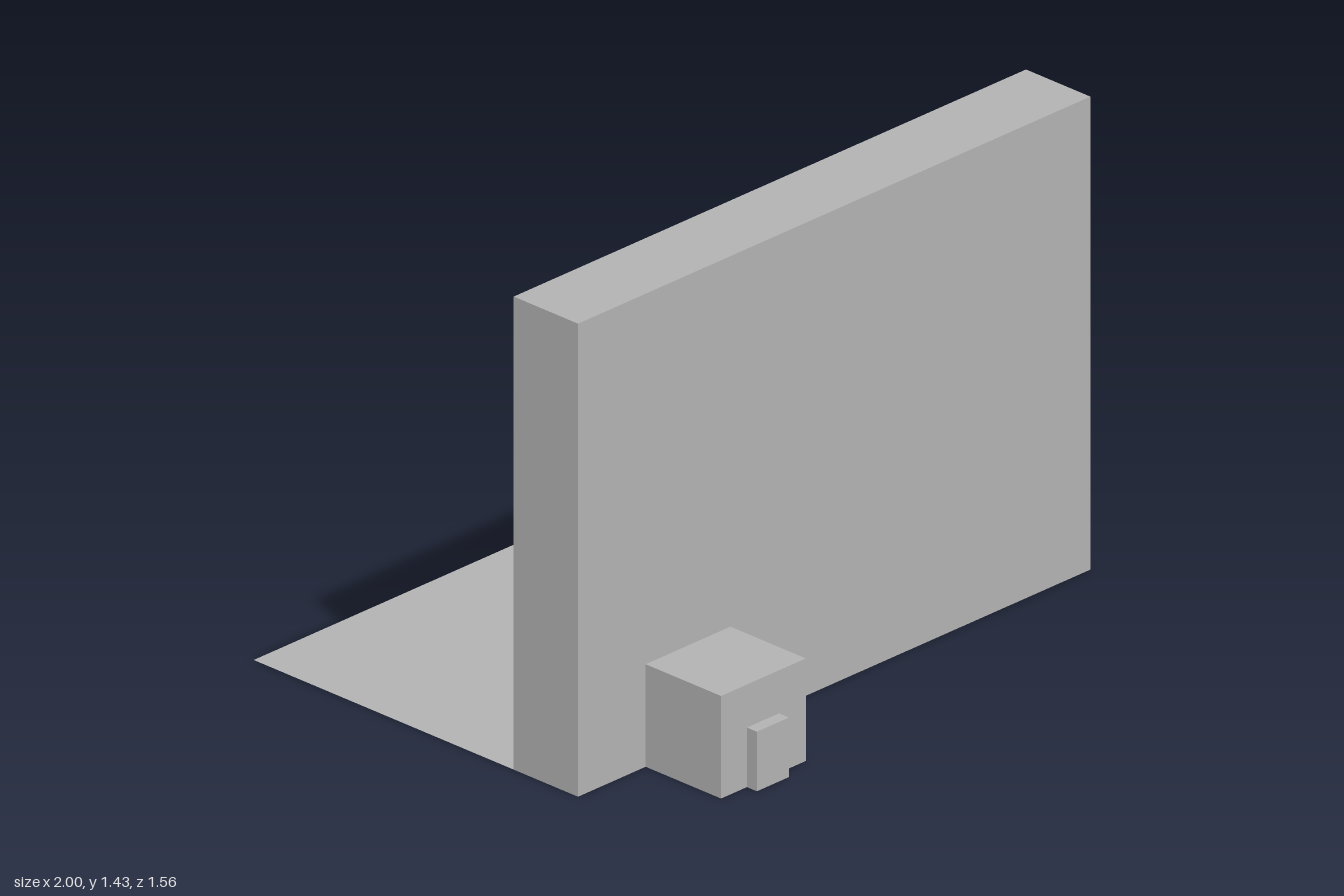
import * as THREE from 'three';

const BACK = 0.21, FACE = 0.455, T = 0.045;

export function createModel() {
  const model = new THREE.Group();
  const grey = new THREE.MeshStandardMaterial({ color: 0xb2b2b2, side: THREE.DoubleSide });
  grey.name = 'plain grey';

  const add = (name, geometry) => {
    const mesh = new THREE.Mesh(geometry, grey);
    mesh.name = name;
    model.add(mesh);
    return mesh;
  };

  // Box given by its limits on each axis
  const box = (name, x0, x1, y0, y1, z0 = BACK, z1 = FACE) =>
    add(name, new THREE.BoxGeometry(x1 - x0, y1 - y0, z1 - z0))
      .position.set((x0 + x1) / 2, (y0 + y1) / 2, (z0 + z1) / 2);

  // Ground sheet
  add('ground', new THREE.PlaneGeometry(2, FACE + 0.78).rotateX(-Math.PI / 2))
    .position.z = (FACE - 0.78) / 2;

  // Front sheet with a doorway into the porch
  const outline = [[-1, 0], [-0.69, 0], [-0.69, 0.265], [-0.446, 0.265],
    [-0.446, 0], [1, 0], [1, 1.43], [-1, 1.43]];
  const front = new THREE.Shape(outline.map(([x, y]) => new THREE.Vector2(x, y)));
  add('frontWall', new THREE.ShapeGeometry(front)).position.z = FACE;

  // Thin side walls and roof of the open-backed case
  const depth = FACE - BACK, mid = (FACE + BACK) / 2;
  for (const side of [-1, 1]) {
    add(side > 0 ? 'leftWall' : 'rightWall',
      new THREE.PlaneGeometry(depth, 1.43).rotateY(side * Math.PI / 2))
      .position.set(side, 0.715, mid);
  }
  add('roof', new THREE.PlaneGeometry(2, depth).rotateX(-Math.PI / 2))
    .position.set(0, 1.43, mid);

  // Horizontal shelves: x from, x to, top height
  const shelves = [
    [0.405, 0.74, 1.16], [0.405, 1, 0.59], [0.124, 0.74, 0.307],
    [-0.736, -0.4, 0.873], [-1, -0.688, 1.16], [-1, -0.4, 0.583],
    [-0.736, -0.4, 0.307],
  ];
  for (const [x0, x1, top] of shelves) box('shelf', x0, x1, top - T, top);

  // Upright dividers: x from, bottom, top
  const dividers = [
    [0.405, 0.83, 1.115], [0.405, 0, 0.262], [0.124, 0.307, 0.586],
    [-0.165, 0.543, 0.873], [-0.165, 0, 0.303], [-0.446, 0.873, 1.157],
    [-0.736, 0, 0.262],
  ];
  for (const [x0, y0, y1] of dividers) box('divider', x0, x0 + T + 0.002, y0, y1);

  // Block hanging from the roof
  box('hangingBlock', -0.165, 0.173, 1.117, 1.43);

  // Hollow porch with a small door block
  const end = 0.742;
  box('porchWall', -0.736, -0.69, 0, 0.265, FACE, end);
  box('porchWall', -0.446, -0.405, 0, 0.265, FACE, end);
  box('porchRoof', -0.736, -0.405, 0.265, 0.31, FACE, end);
  box('porchFront', -0.69, -0.446, 0, 0.265, end - T, end);
  add('porchFloor', new THREE.PlaneGeometry(0.244, end - T - FACE).rotateX(-Math.PI / 2))
    .position.set(-0.568, 0, (FACE + end - T) / 2);
  box('doorBlock', -0.635, -0.51, 0, 0.18, end, 0.78);

  return model;
}
